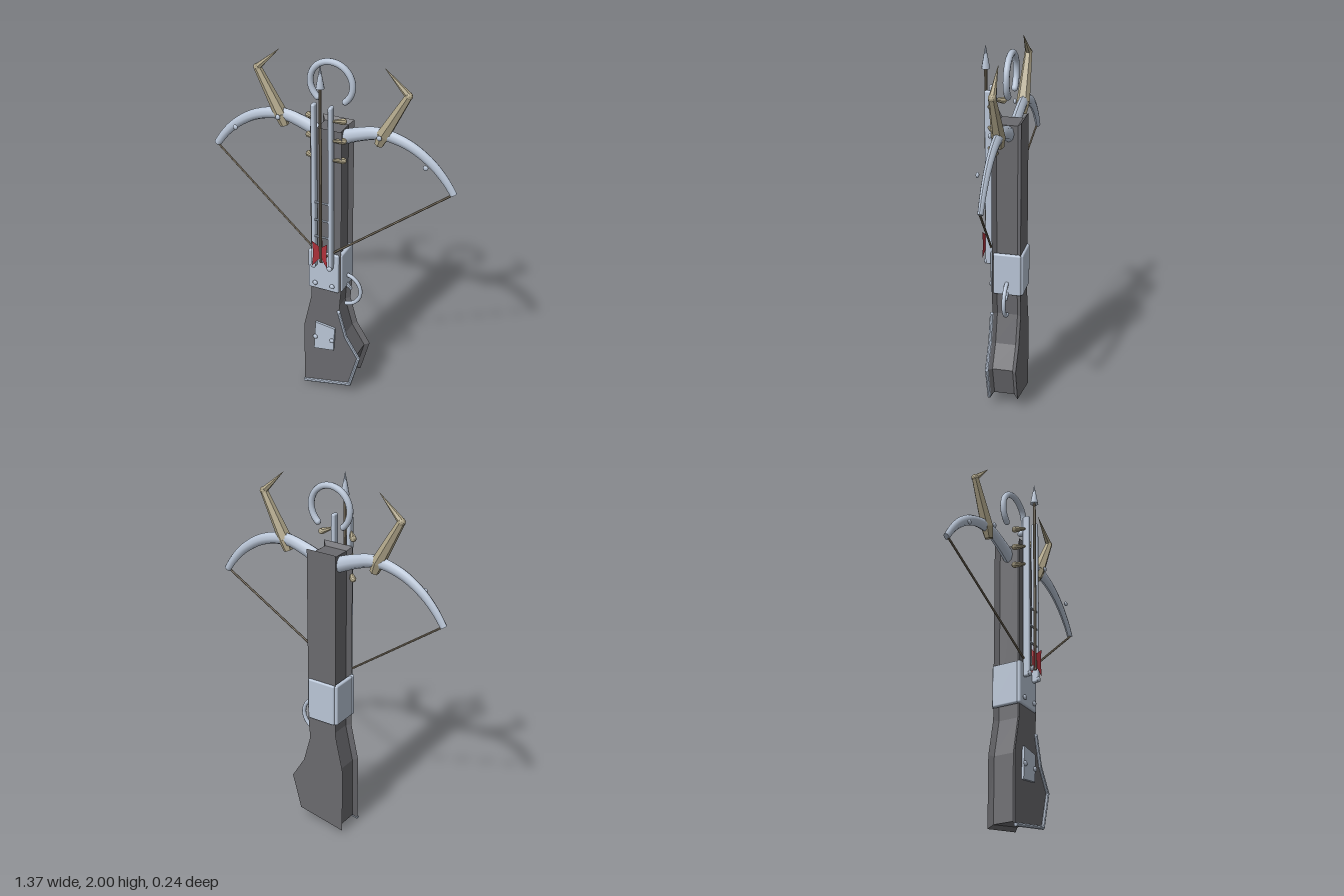
import * as THREE from 'three';
import { RoundedBoxGeometry } from 'three/addons/geometries/RoundedBoxGeometry.js';
import { toCreasedNormals } from 'three/addons/utils/BufferGeometryUtils.js';

const mat = (color, extra = {}) => new THREE.MeshStandardMaterial({ color, ...extra });
const V = (x, y, z) => new THREE.Vector3(x, y, z);

export function createModel() {
  const model = new THREE.Group();
  const wood = mat(0x6a6a6e, { flatShading: true });
  const steel = mat(0xb9c5d6);
  const horn = mat(0xb0a68a, { flatShading: true });
  const cord = mat(0x857a68);
  const red = mat(0xb0303a, { side: THREE.DoubleSide });

  const add = (name, geometry, material, x = 0, y = 0, z = 0) => {
    const mesh = new THREE.Mesh(geometry, material);
    mesh.name = name;
    mesh.position.set(x, y, z);
    model.add(mesh);
    return mesh;
  };

  // Straight, possibly tapered bar from point a to point b
  const rod = (name, a, b, ra, rb, sides, material) => {
    const g = toCreasedNormals(new THREE.CylinderGeometry(rb, ra, a.distanceTo(b), sides), 0.9);
    const mesh = add(name, g, material);
    mesh.position.copy(a).lerp(b, 0.5);
    mesh.quaternion.setFromUnitVectors(V(0, 1, 0), b.clone().sub(a).normalize());
    return mesh;
  };

  // Capped tube whose radius runs linearly along a curve
  const taperTube = (curve, r0, r1, sides, flat) => {
    const n = 26;
    const g = new THREE.TubeGeometry(curve, n, 1, sides);
    const p = g.attributes.position;
    const v = V(0, 0, 0);
    for (let k = 0; k < p.count; k++) {
      const i = Math.floor(k / (sides + 1));
      const u = THREE.MathUtils.clamp((i - 1) / (n - 2), 0, 1);
      const r = i === 0 || i === n ? 0 : r0 + (r1 - r0) * u;
      v.fromBufferAttribute(p, k).sub(curve.getPointAt(i / n)).multiplyScalar(r);
      v.z *= flat;
      v.add(curve.getPointAt(u));
      p.setXYZ(k, v.x, v.y, v.z);
    }
    return toCreasedNormals(g, 0.8);
  };

  const shape = (pts) => new THREE.Shape(pts.map(([x, y]) => new THREE.Vector2(x, y)));

  const rivet = (name, x, y, z, r = 0.014) => {
    const m = add(name, new THREE.SphereGeometry(r, 12, 8), steel, x, y, z);
    m.scale.z = 0.6;
  };

  // Stock: the sides are sunk between flared front and back faces
  const butt = [[0.085, 0.54], [0.128, 0.385], [0.205, 0.26], [0.152, 0.065], [-0.125, 0.01]];
  const outline = [[-0.08, 1.635], [-0.08, 0.6], [-0.125, 0.395], ...butt.slice().reverse(),
    [0.095, 0.66], [0.095, 1.635]];
  add('stock', new THREE.ExtrudeGeometry(shape(outline), {
    depth: 0.111, bevelEnabled: true, bevelThickness: 0.022, bevelSize: -0.022, bevelSegments: 1,
  }), wood, 0, 0, -0.083);

  // Metal edging round the butt
  for (let i = 0; i < butt.length - 1; i++) {
    const [a, b] = [butt[i], butt[i + 1]];
    rod('buttTrim', V(a[0], a[1], 0.054), V(b[0], b[1], 0.054), 0.01, 0.01, 8, steel);
    add('buttTrimCorner', new THREE.SphereGeometry(0.01, 10, 8), steel, a[0], a[1], 0.054);
  }

  // Plate on the butt
  add('buttPlate', new THREE.ExtrudeGeometry(
    shape([[-0.05, 0.44], [-0.06, 0.26], [0.057, 0.278], [0.065, 0.425]]),
    { depth: 0.014, bevelEnabled: false }), steel, 0, 0, 0.049);

  // Band of four plates round the grip
  add('bandFront', new RoundedBoxGeometry(0.178, 0.24, 0.022, 3, 0.01), steel, -0.004, 0.785, 0.05);
  add('bandBack', new RoundedBoxGeometry(0.165, 0.235, 0.02, 3, 0.009), steel, 0.006, 0.785, -0.108);
  add('bandLeft', new RoundedBoxGeometry(0.024, 0.235, 0.15, 3, 0.009), steel, 0.087, 0.785, -0.032);
  add('bandRight', new RoundedBoxGeometry(0.024, 0.235, 0.15, 3, 0.009), steel, -0.08, 0.785, -0.032);

  for (const s of [-1, 1]) {
    rivet('bandRivet', s * 0.05, 0.705, 0.066);
    rivet('buttRivet', s * 0.05, 0.345, 0.068);

    // Guide rail with its end bolt
    add('rail', new RoundedBoxGeometry(0.023, 0.96, 0.04, 3, 0.009), steel, s * 0.047, 1.3, 0.075);
    rivet('railBolt', s * 0.047, 0.835, 0.094, 0.015);

    // Bow limb
    const limb = new THREE.CatmullRomCurve3([[0.03, 1.55], [0.15, 1.598], [0.27, 1.626], [0.42, 1.595],
      [0.54, 1.522], [0.62, 1.44], [0.668, 1.37]].map(([x, y]) => V(s * x, y, -0.035)));
    add('bowLimb', taperTube(limb, 0.042, 0.02, 8, 0.72), steel);
    rivet('limbRivet', s * 0.28, 1.625, 0.012);
    rivet('limbRivet', s * 0.53, 1.515, 0.012);

    // Horn: short root, long tapering shaft, bent point
    const z = -0.032;
    const h = [V(s * 0.262, 1.565, z), V(s * 0.284, 1.625, z), V(s * 0.412, 1.862, z), V(s * 0.285, 1.985, z)];
    rod('hornRoot', h[0], h[1], 0.024, 0.036, 6, horn);
    rod('hornShaft', h[1], h[2], 0.036, 0.02, 6, horn);
    add('hornElbow', new THREE.IcosahedronGeometry(0.021, 1), horn, h[2].x, h[2].y, z);
    rod('hornPoint', h[2], h[3], 0.019, 0.001, 6, horn);

    // Bowstring half, running to the arrow's nock
    const pull = V(s * 0.06, 0.925, 0.062);
    rod('bowstring', V(s * 0.658, 1.368, -0.03), pull, 0.006, 0.006, 6, cord);
    rod('bowstringNock', pull, V(0, 0.885, 0.09), 0.006, 0.006, 6, cord);

    // Pegs beside the rails
    for (const y of [1.695, 1.585, 1.475]) {
      rod('peg', V(s * 0.056, y + 0.005, 0.072), V(s * 0.096, y - 0.008, 0.03), 0.007, 0.018, 8, horn);
      add('pegHead', new THREE.IcosahedronGeometry(0.017, 1), horn, s * 0.096, y - 0.008, 0.03);
    }
  }

  // Cross rods between the rails
  for (const y of [1.02, 1.12, 1.225]) {
    rod('crossRod', V(-0.05, y, 0.088), V(0.05, y, 0.088), 0.006, 0.006, 8, steel);
  }

  // Arrow with head and swept fins
  rod('arrowShaft', V(0, 0.87, 0.1), V(0, 1.9, 0.1), 0.008, 0.008, 8, cord);
  rod('arrowHead', V(0, 1.88, 0.1), V(0, 2, 0.1), 0.023, 0.001, 8, steel);
  const fin = shape([[0, 0.96], [0.046, 1.0], [0.04, 0.93], [0.046, 0.845], [0, 0.9]]);
  for (const angle of [-0.3, Math.PI + 0.3, Math.PI / 2]) {
    const m = add('arrowFin', new THREE.ShapeGeometry(fin), red, 0, 0, 0.1);
    m.rotation.y = angle;
    if (angle === Math.PI / 2) m.scale.x = 0.5;
  }
  const nut = add('stringNut', new THREE.CylinderGeometry(0.015, 0.015, 0.04, 12), steel, 0, 0.885, 0.08);
  nut.rotation.x = Math.PI / 2;

  // Open foot loop at the muzzle
  const arcLoop = (name, R, r, from, to, x, y, z) => {
    const loop = add(name, new THREE.TorusGeometry(R, r, 10, 40, to - from), steel, x, y, z);
    loop.rotation.z = from;
    for (const a of [from, to]) {
      add(name + 'End', new THREE.SphereGeometry(r, 10, 8), steel,
        x + R * Math.cos(a), y + R * Math.sin(a), z);
    }
  };
  arcLoop('footLoop', 0.116, 0.017, -0.85, Math.PI + 0.85, 0, 1.85, -0.032);

  // Trigger and its guard
  arcLoop('triggerGuard', 0.095, 0.011, -1.45, 1.5, 0.08, 0.643, -0.032);
  rod('trigger', V(0.07, 0.7, -0.032), V(0.122, 0.65, -0.032), 0.014, 0.009, 8, steel);

  return model;
}
